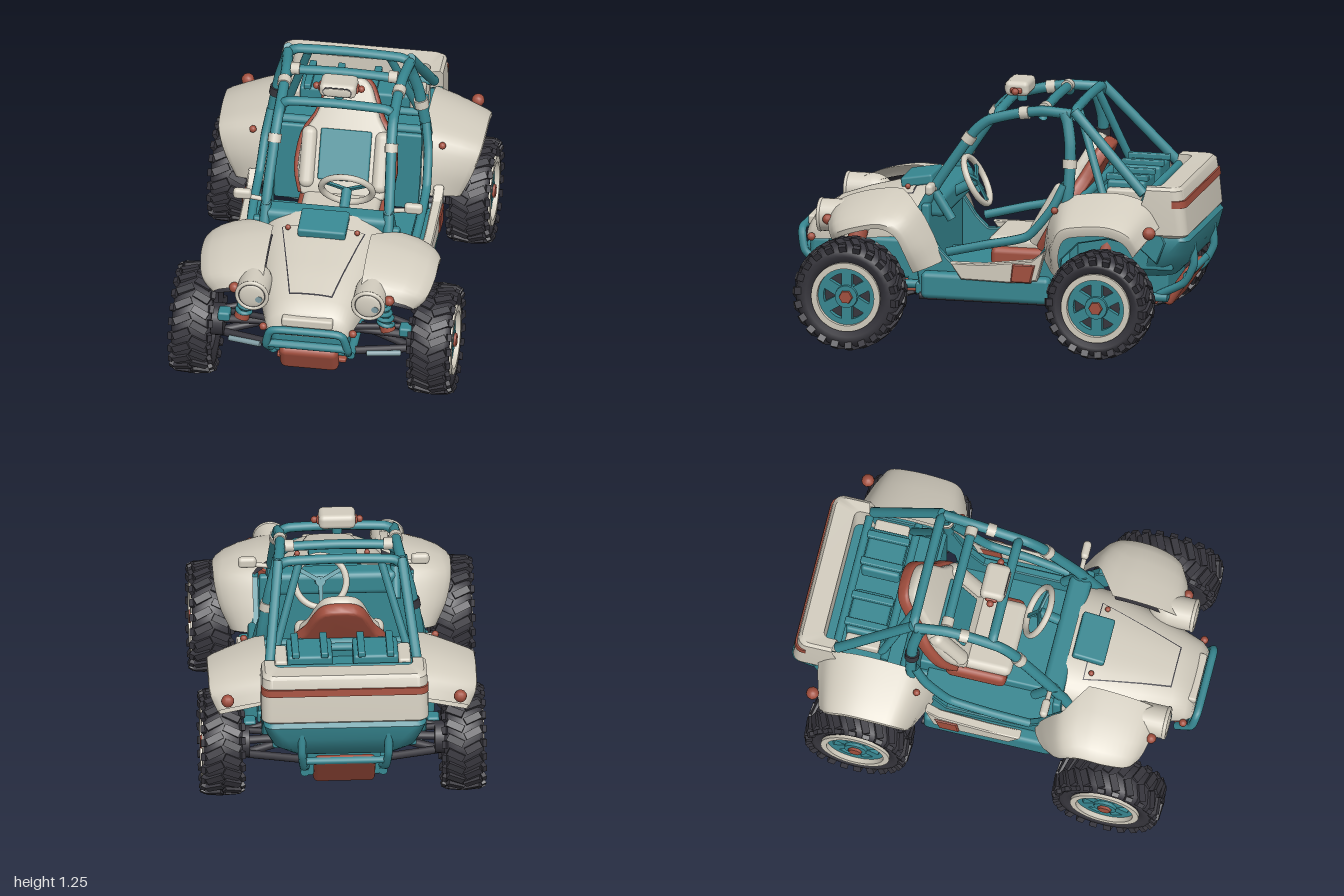
import * as THREE from 'three';
import { mergeGeometries, toCreasedNormals } from 'three/addons/utils/BufferGeometryUtils.js';
import { RoundedBoxGeometry } from 'three/addons/geometries/RoundedBoxGeometry.js';

const paint = (name, color, side = THREE.FrontSide) => {
  const m = new THREE.MeshStandardMaterial({ color, side });
  m.name = name;
  return m;
};
const V = (x, y, z) => new THREE.Vector3(x, y, z);

export function createModel() {
  const cream = paint('cream', 0xd2ccbe, THREE.DoubleSide);
  const teal = paint('teal', 0x378791, THREE.DoubleSide);
  const rust = paint('rust', 0xa24f3e, THREE.DoubleSide);
  const dark = paint('rubber', 0x36353c, THREE.DoubleSide);
  const steel = paint('pale steel', 0x7f9ba2);
  const model = new THREE.Group();
  model.name = 'buggy';

  const add = (name, geo, mat, parent = model) => {
    const mesh = new THREE.Mesh(geo, mat);
    mesh.name = name;
    parent.add(mesh);
    return mesh;
  };
  const box = (name, mat, w, h, d, x, y, z, r = 0.012) => {
    const m = add(name, new RoundedBoxGeometry(w, h, d, 2, Math.min(r, w / 2.1, h / 2.1, d / 2.1)), mat);
    m.position.set(x, y, z);
    return m;
  };
  const rod = (name, mat, a, b, r, sides = 12) => {
    const m = add(name, new THREE.CylinderGeometry(r, r, a.distanceTo(b), sides), mat);
    m.position.copy(a).lerp(b, 0.5);
    m.quaternion.setFromUnitVectors(V(0, 1, 0), b.clone().sub(a).normalize());
    return m;
  };
  const tube = (name, mat, pts, r) => add(name, new THREE.TubeGeometry(
    new THREE.CatmullRomCurve3(pts.map(p => V(...p)), false, 'catmullrom', 0.3), pts.length * 8, r, 10), mat);
  const clampAt = (a, b, t, r = 0.033, mat = cream) => {
    const d = b.clone().sub(a).normalize().multiplyScalar(0.022), c = a.clone().lerp(b, t);
    rod('tubeClamp', mat, c.clone().sub(d), c.clone().add(d), r);
  };
  // Surface through rows of points
  const loft = (rows, crease = 0.7) => {
    const n = rows[0].length, idx = [];
    for (let i = 0; i < rows.length - 1; i++) for (let j = 0; j < n - 1; j++) {
      const a = i * n + j, b = a + n;
      idx.push(a, a + 1, b, b, a + 1, b + 1);
    }
    const g = new THREE.BufferGeometry();
    g.setAttribute('position', new THREE.Float32BufferAttribute(rows.flat(2), 3));
    g.setIndex(idx);
    return toCreasedNormals(g, crease);
  };
  // Plate with a (z, y) outline, centred on x
  const sidePlate = (name, mat, pts, x, w) => {
    const g = new THREE.ExtrudeGeometry(new THREE.Shape(pts.map(p => new THREE.Vector2(...p))),
      { depth: w - 0.012, bevelSize: 0.006, bevelThickness: 0.006, bevelSegments: 1 });
    g.rotateY(-Math.PI / 2).translate(x + w / 2 - 0.006, 0, 0);
    return add(name, g, mat);
  };

  // Wheels
  const makeWheel = (R, s, y, z, name) => {
    const wheel = new THREE.Group();
    wheel.name = name;
    const profile = [[0.155, -0.08], [0.2, -0.095], [R - 0.045, -0.095], [R - 0.018, -0.07], [R - 0.01, 0],
      [R - 0.018, 0.07], [R - 0.045, 0.095], [0.2, 0.095], [0.16, 0.08], [0.15, 0], [0.155, -0.08]];
    const parts = [new THREE.LatheGeometry(profile.map(p => new THREE.Vector2(...p)), 36)];
    for (let i = 0; i < 22; i++) for (const k of [-1, 1]) {
      const a = (i + (k > 0 ? 0.5 : 0)) / 22 * Math.PI * 2;
      const lug = new THREE.BoxGeometry(0.022, 0.085, 0.036).rotateX(k * 0.45).rotateZ(k * 0.08).translate(R - 0.013, k * 0.042, 0);
      const shoulder = new THREE.BoxGeometry(0.05, 0.022, 0.036).rotateZ(k * 0.45).translate(R - 0.038, k * 0.088, k * 0.02);
      parts.push(lug.rotateY(a), shoulder.rotateY(a));
    }
    add('tyre', mergeGeometries(parts), dark, wheel);
    add('wheelWell', new THREE.CylinderGeometry(0.155, 0.155, 0.06, 28), dark, wheel).position.y = 0.01;
    const ring = (a, b, c, d) => new THREE.LatheGeometry([[a, c], [b, c], [b, d], [a, d], [a, c]].map(p => new THREE.Vector2(...p)), 36);
    add('rimRing', toCreasedNormals(ring(0.142, 0.171, 0.02, 0.1), 0.5), cream, wheel);
    add('rimInner', toCreasedNormals(ring(0.115, 0.143, 0.03, 0.075), 0.5), teal, wheel);
    for (let i = 0; i < 6; i++) {
      const spoke = new THREE.BoxGeometry(0.1, 0.03, 0.052).translate(0.072, 0.06, 0).rotateY(i * Math.PI / 3);
      add('spoke', spoke, teal, wheel);
    }
    add('hub', new THREE.CylinderGeometry(0.055, 0.062, 0.05, 18), teal, wheel).position.y = 0.065;
    add('hubCap', new THREE.CylinderGeometry(0.032, 0.037, 0.022, 6), rust, wheel).position.y = 0.092;
    wheel.rotation.z = -s * Math.PI / 2;
    wheel.position.set(s * 0.585, y, z);
    model.add(wheel);
  };

  // Fender swept over its wheel: path rows are z, y, outer x; section rows are share of width, drop
  const makeFender = (name, s, path, innerX, cy, cz, section, liner) => {
    const pts = new THREE.CatmullRomCurve3(path.map(p => V(p[2], p[1], p[0]))).getPoints(28);
    const skin = rows => loft(pts.map(p => {
      const d = V(0, cy - p.y, cz - p.z).normalize(), xi = innerX(p.z);
      return rows.map(([t, drop]) => [s * (xi + (p.x - xi) * t), p.y + d.y * drop, p.z + d.z * drop]);
    }));
    const lip = section[section.length - 1];
    add(name, skin(section), cream);
    add(name + 'Liner', skin([lip, [0.95, lip[1] - 0.01], [0.6, lip[1] - 0.05], [0, 0.035]]), liner);
  };
  const frontSection = [[0, -0.01], [0.35, 0.005], [0.65, 0.03], [0.86, 0.058], [0.97, 0.085], [1, 0.1], [0.98, 0.125]];
  const rearSection = [[0, 0], [0.35, 0.03], [0.65, 0.062], [0.9, 0.09], [0.99, 0.105], [1, 0.12], [0.96, 0.155]];

  // Hood
  const hoodRows = [[0.32, 0.33, 0.5, 0.735], [0.5, 0.32, 0.5, 0.698], [0.7, 0.27, 0.47, 0.648],
    [0.85, 0.225, 0.45, 0.597], [0.92, 0.205, 0.44, 0.555], [0.95, 0.18, 0.44, 0.505], [0.955, 0.17, 0.44, 0.45]];
  const hoodAt = z => {
    let i = 0;
    while (i < hoodRows.length - 2 && z > hoodRows[i + 1][0]) i++;
    const t = (z - hoodRows[i][0]) / (hoodRows[i + 1][0] - hoodRows[i][0]);
    return hoodRows[i].map((v, k) => v + (hoodRows[i + 1][k] - v) * t);
  };
  const arc = (c, n = 24) => Array.from({ length: n + 1 }, (_, j) => {
    const a = Math.PI * j / n, f = v => Math.sign(v) * Math.abs(v) ** 0.75;
    return [c[1] * f(Math.cos(a)), c[2] + (c[3] - c[2]) * f(Math.sin(a)), c[0]];
  });
  add('hood', loft(hoodRows.map(c => arc(c)), 0.9), cream);
  add('noseFace', loft([arc(hoodRows[6]), arc([0.955, 0.17, 0.44, 0.441])]), cream);
  const onHood = (x, z, lift) => {
    const [, w, b, t] = hoodAt(z);
    return [x, b + (t - b) * (1 - Math.abs(x / w) ** 2.67) ** 0.375 + lift, z];
  };
  const panel = (grow, lift) => loft(Array.from({ length: 10 }, (_, i) => {
    const z = 0.42 - grow + i * (0.41 + 2 * grow) / 9, w = 0.2 + grow - i * 0.011;
    return Array.from({ length: 13 }, (_, j) => onHood(w * (1 - j / 6), z, lift));
  }));
  add('hoodPanelSeam', panel(0.005, 0.003), dark);
  add('hoodPanel', panel(0, 0.007), cream);
  box('hoodScoop', teal, 0.235, 0.05, 0.16, 0, 0.735, 0.42).rotation.x = 0.17;
  box('noseScoop', cream, 0.25, 0.05, 0.05, 0, 0.515, 0.935);
  box('grille', teal, 0.36, 0.11, 0.12, 0, 0.4, 0.88, 0.03);
  box('frontFrame', teal, 0.36, 0.2, 0.5, 0, 0.36, 0.6, 0.02);

  // Floor, bulkheads and dashboard
  box('floor', teal, 0.8, 0.06, 0.72, 0, 0.27, 0);
  box('spine', teal, 0.36, 0.14, 1.3, 0, 0.29, -0.2);
  box('firewall', teal, 0.72, 0.42, 0.04, 0, 0.47, 0.32);
  box('dashboard', teal, 0.62, 0.12, 0.11, 0, 0.665, 0.285, 0.03);
  box('bulkhead', teal, 0.74, 0.44, 0.04, 0, 0.5, -0.42);
  box('cargoFloor', teal, 0.7, 0.24, 0.5, 0, 0.53, -0.66);
  box('skidPlate', rust, 0.34, 0.024, 1.6, 0, 0.21, 0.01, 0.008);
  box('frontSkid', rust, 0.29, 0.15, 0.07, 0, 0.272, 0.88, 0.034).rotation.x = 0.35;
  box('rearSkid', rust, 0.3, 0.22, 0.05, 0, 0.285, -0.89, 0.024).rotation.x = -0.6;
  rod('frontSkidTie', dark, V(0, 0.23, 0.76), V(0, 0.3, 0.87), 0.03);

  // Rear body: cream band, stripe and rounded lower pan
  const rearLoop = (y, w, zb, zf, r = 0.05) => {
    const pts = [[w, y, zf]];
    for (let i = 0; i <= 6; i++) { const a = i / 12 * Math.PI; pts.push([w - r + r * Math.cos(a), y, zb + r - r * Math.sin(a)]); }
    return pts.concat(pts.slice().reverse().map(p => [-p[0], p[1], p[2]]));
  };
  add('rearBand', loft([rearLoop(0.585, 0.39, -0.98, -0.74), rearLoop(0.6, 0.405, -0.992, -0.74), rearLoop(0.72, 0.405, -0.98, -0.76),
    rearLoop(0.82, 0.4, -0.965, -0.79), rearLoop(0.835, 0.385, -0.95, -0.79), rearLoop(0.83, 0.335, -0.85, -0.78, 0.03),
    rearLoop(0.62, 0.335, -0.85, -0.74, 0.03)]), cream);
  add('rearStripe', loft([rearLoop(0.737, 0.407, -0.985, -0.92), rearLoop(0.772, 0.407, -0.98, -0.92), rearLoop(0.773, 0.4, -0.97, -0.92)]), rust);
  add('rearPan', loft([rearLoop(0.6, 0.385, -0.98, -0.8), rearLoop(0.57, 0.395, -1, -0.8), rearLoop(0.5, 0.38, -0.992, -0.8, 0.1),
    rearLoop(0.43, 0.35, -0.96, -0.78, 0.1), rearLoop(0.37, 0.29, -0.9, -0.7, 0.1), rearLoop(0.34, 0.001, -0.78, -0.7, 0.001)]), teal);

  // Reclined seat: rust shell, cream pad and bolsters, teal insert
  const seat = new THREE.Group();
  seat.name = 'seat';
  seat.position.set(0, 0.475, -0.21);
  seat.rotation.x = -0.52;
  model.add(seat);
  const seatLayer = (name, mat, kx, ky, depth, z) => {
    const half = [[0.2, 0], [0.225, 0.12], [0.205, 0.28], [0.15, 0.38], [0.12, 0.47], [0.09, 0.54], [0.045, 0.57]];
    const curve = new THREE.SplineCurve([...half, ...half.slice().reverse().map(p => [-p[0], p[1]])].map(p => new THREE.Vector2(p[0] * kx, p[1] * ky)));
    const g = toCreasedNormals(new THREE.ExtrudeGeometry(new THREE.Shape(curve.getPoints(40)),
      { depth, bevelSize: 0.015, bevelThickness: 0.02, bevelSegments: 3 }), 0.8);
    add(name, g.translate(0, 0, z), mat, seat);
  };
  seatLayer('seatShell', rust, 1.06, 0.99, 0.025, -0.04);
  seatLayer('seatPad', cream, 0.95, 0.98, 0.02, 0.01);
  add('seatInsert', new RoundedBoxGeometry(0.25, 0.25, 0.02, 2, 0.009), teal, seat).position.set(0, 0.19, 0.053);
  for (const s of [1, -1]) add('seatBolster', new RoundedBoxGeometry(0.075, 0.3, 0.08, 3, 0.035), cream, seat).position.set(s * 0.18, 0.17, 0.04);
  box('seatBase', rust, 0.44, 0.1, 0.3, 0, 0.4, -0.12, 0.03);
  box('seatCushion', cream, 0.38, 0.08, 0.3, 0, 0.46, -0.1, 0.035);

  // Steering wheel
  const steering = new THREE.Group();
  steering.name = 'steeringWheel';
  add('steeringRim', new THREE.TorusGeometry(0.125, 0.016, 10, 36), cream, steering);
  for (let i = 0; i < 3; i++) add('steeringSpoke', new THREE.BoxGeometry(0.02, 0.12, 0.012).translate(0, 0.06, 0).rotateZ(Math.PI + i * 2.094), teal, steering);
  steering.position.set(0.07, 0.745, 0.13);
  steering.rotation.x = 0.48;
  model.add(steering);
  rod('steeringColumn', teal, V(0.07, 0.745, 0.13), V(0.07, 0.65, 0.3), 0.025);

  // Roof lamp
  box('roofLamp', cream, 0.18, 0.075, 0.12, 0, 1.213, -0.07, 0.025);
  const pill = (name, r, w, mat, z) => add(name, new THREE.CapsuleGeometry(r, w, 6, 12).rotateZ(Math.PI / 2).scale(1, 1, 0.2), mat).position.set(0, 1.213, z);
  pill('roofLampSeal', 0.027, 0.09, dark, -0.012);
  pill('roofLampLens', 0.023, 0.09, cream, -0.009);
  box('roofLampMount', rust, 0.2, 0.032, 0.06, 0, 1.205, -0.07);
  for (const s of [1, -1]) add('roofLampKnob', new THREE.SphereGeometry(0.018, 10, 8), rust).position.set(s * 0.11, 1.205, -0.07);
  rod('roofLampFoot', teal, V(0, 1.14, -0.08), V(0, 1.19, -0.08), 0.025);

  // Cage cross tubes and bumpers
  const cross = (y, z, w) => tube('cageCrossTube', teal, [[-w, y - 0.03, z], [-w + 0.05, y, z], [0, y + 0.008, z], [w - 0.05, y, z], [w, y - 0.03, z]], 0.024);
  cross(1.135, -0.02, 0.28);
  cross(1.16, -0.25, 0.285);
  cross(1.17, -0.41, 0.3);
  rod('harnessBar', teal, V(-0.37, 0.73, -0.44), V(0.37, 0.73, -0.44), 0.022);
  rod('cargoRail', teal, V(-0.36, 0.76, -0.54), V(0.36, 0.76, -0.54), 0.02);
  rod('cargoRail', teal, V(-0.34, 0.78, -0.78), V(0.34, 0.78, -0.78), 0.02);
  tube('frontBumperHoop', teal, [[-0.19, 0.31, 0.88], [-0.2, 0.38, 0.955], [-0.18, 0.465, 0.975], [-0.13, 0.485, 0.98],
    [0.13, 0.485, 0.98], [0.18, 0.465, 0.975], [0.2, 0.38, 0.955], [0.19, 0.31, 0.88]], 0.02);
  rod('frontBumperBar', teal, V(-0.2, 0.385, 0.955), V(0.2, 0.385, 0.955), 0.02);
  rod('rearBumperBar', teal, V(-0.22, 0.36, -0.95), V(0.22, 0.36, -0.95), 0.018);

  for (const s of [1, -1]) {
    makeWheel(0.272, s, 0.274, 0.64, 'frontWheel');
    makeWheel(0.262, s, 0.285, -0.605, 'rearWheel');
    makeFender('frontFender', s, [[0.81, 0.6, 0.49], [0.76, 0.65, 0.545], [0.62, 0.7, 0.575], [0.46, 0.715, 0.578],
      [0.36, 0.67, 0.575], [0.285, 0.55, 0.55], [0.23, 0.41, 0.5]],
    z => THREE.MathUtils.clamp(0.39 - (z - 0.36) * 1.5, 0.24, 0.39), 0.28, 0.6, frontSection, dark);
    makeFender('rearFender', s, [[-0.27, 0.46, 0.55], [-0.3, 0.63, 0.61], [-0.37, 0.745, 0.645], [-0.5, 0.782, 0.652],
      [-0.68, 0.785, 0.652], [-0.8, 0.74, 0.648], [-0.865, 0.65, 0.61]], () => 0.37, 0.285, -0.59, rearSection, cream);

    // Tub sides and sills
    sidePlate('tubSide', teal, [[0.33, 0.25], [0.36, 0.45], [0.46, 0.57], [0.6, 0.6], [0.58, 0.63], [0.36, 0.64], [0.24, 0.46],
      [0.18, 0.4], [-0.22, 0.4], [-0.3, 0.52], [-0.37, 0.73], [-0.8, 0.73], [-0.88, 0.56], [-0.84, 0.46],
      [-0.75, 0.54], [-0.6, 0.57], [-0.45, 0.54], [-0.36, 0.45], [-0.33, 0.25]], s * 0.38, 0.04);
    box('sill', teal, 0.08, 0.13, 0.64, s * 0.425, 0.3, 0, 0.025);
    sidePlate('sillTrim', cream, [[0.16, 0.42], [0.11, 0.35], [-0.13, 0.345], [-0.26, 0.36], [-0.3, 0.5], [-0.24, 0.45], [0, 0.42]], s * 0.455, 0.05);
    sidePlate('sillAccent', rust, [[-0.14, 0.35], [-0.23, 0.35], [-0.25, 0.43], [-0.15, 0.43]], s * 0.458, 0.06);
    rod('sideStep', dark, V(s * 0.43, 0.243, 0.33), V(s * 0.43, 0.243, -0.33), 0.018);
    for (const x of [0.25, 0.335]) rod('underTube', dark, V(s * x, 0.24, 0.3), V(s * x, 0.24, -0.38), 0.034);
    rod('frameRail', teal, V(s * 0.19, 0.24, 0.8), V(s * 0.19, 0.24, -0.85), 0.022);

    // Roll cage
    tube('cageSideTube', teal, [[s * 0.305, 0.58, 0.38], [s * 0.3, 0.78, 0.27], [s * 0.285, 1.03, 0.1], [s * 0.28, 1.1, 0.02],
      [s * 0.28, 1.14, -0.12], [s * 0.285, 1.16, -0.25], [s * 0.3, 1.155, -0.4]], 0.026);
    tube('mainHoop', teal, [[s * 0.395, 0.6, -0.38], [s * 0.375, 0.8, -0.4], [s * 0.34, 1.0, -0.4], [s * 0.31, 1.11, -0.38], [s * 0.3, 1.16, -0.36]], 0.028);
    rod('rearStay', teal, V(s * 0.3, 1.17, -0.41), V(s * 0.36, 0.79, -0.77), 0.025);
    rod('innerStay', teal, V(s * 0.2, 1.16, -0.41), V(s * 0.32, 0.76, -0.56), 0.02);
    tube('doorBar', teal, [[s * 0.4, 0.46, 0.2], [s * 0.41, 0.51, 0], [s * 0.41, 0.56, -0.2], [s * 0.4, 0.7, -0.32], [s * 0.38, 0.82, -0.38]], 0.022);
    rod('dashBrace', teal, V(s * 0.3, 0.76, 0.3), V(s * 0.3, 0.6, 0.2), 0.024);
    clampAt(V(s * 0.3, 0.78, 0.27), V(s * 0.285, 1.03, 0.1), 0.9);
    clampAt(V(s * 0.375, 0.8, -0.4), V(s * 0.34, 1, -0.4), 0.6, 0.036, s < 0 ? dark : cream);
    clampAt(V(s * 0.28, 1.14, -0.12), V(s * 0.285, 1.16, -0.25), 0.3);
    clampAt(V(0, 1.168, -0.25), V(s * 0.3, 1.165, -0.25), 0.8, 0.03);

    // Lights, reflectors and mirrors
    const lamp = V(s * 0.285, 0.585, 0.855);
    const shell = add('headlightShell', new THREE.SphereGeometry(0.08, 24, 14).scale(1, 1, 1.3), cream);
    shell.position.set(lamp.x, lamp.y, 0.735);
    rod('headlightBody', cream, V(lamp.x, lamp.y, 0.73), lamp, 0.08, 28);
    rod('headlightSeal', dark, lamp, V(lamp.x, lamp.y, 0.858), 0.066, 28);
    add('headlightRing', new THREE.TorusGeometry(0.074, 0.01, 8, 32), cream).position.copy(lamp);
    add('headlightLens', new THREE.SphereGeometry(0.063, 24, 12).scale(1, 1, 0.2), cream).position.set(lamp.x, lamp.y, 0.858);
    rod('headlightGlint', steel, V(lamp.x + 0.035, lamp.y - 0.012, 0.86), V(lamp.x + 0.035, lamp.y - 0.012, 0.87), 0.018, 8);
    const studs = [[0.38, 0.585, 0.8, 0.026], [0.22, 0.455, 0.92, 0.02], [0.565, 0.645, -0.845, 0.032],
      [0.17, 0.72, 0.45, 0.014], [0.465, 0.71, -0.35, 0.018]];
    for (const [x, y, z, r] of studs) add('reflector', new THREE.SphereGeometry(r, 10, 8), rust).position.set(s * x, y, z);
    box('mirror', cream, 0.09, 0.055, 0.04, s * 0.42, 0.775, 0.28, 0.018);
    rod('mirrorArm', cream, V(s * 0.42, 0.765, 0.28), V(s * 0.3, 0.75, 0.28), 0.012);

    // Cargo boxes
    box('cargoCase', teal, 0.22, 0.1, 0.19, s * 0.16, 0.78, -0.66, 0.015);
    for (const k of [-1, 1]) box('cargoStrap', teal, 0.035, 0.03, 0.21, s * 0.16 + k * 0.07, 0.84, -0.66, 0.006);
    box('cargoPad', cream, 0.06, 0.06, 0.17, s * 0.3, 0.77, -0.66, 0.012);
    tube('rearBumperUpright', teal, [[s * 0.21, 0.54, -0.975], [s * 0.21, 0.42, -0.985], [s * 0.2, 0.32, -0.93], [s * 0.18, 0.25, -0.8]], 0.02);

    // Suspension
    for (const [z, y] of [[0.64, 0.275], [-0.605, 0.285]]) {
      rod('axle', dark, V(s * 0.1, y + 0.02, z), V(s * 0.56, y, z), 0.02);
      rod('brakeHub', dark, V(s * 0.45, y, z), V(s * 0.52, y, z), 0.08, 18);
      box('brakeCaliper', teal, 0.06, 0.05, 0.07, s * 0.445, y + 0.07, z + 0.05);
      for (const k of [-1, 1]) {
        rod('lowerArm', dark, V(s * 0.17, 0.24, z + k * 0.12), V(s * 0.48, y - 0.07, z), 0.02);
        rod('upperArm', dark, V(s * 0.17, 0.37, z + k * 0.1), V(s * 0.48, y + 0.06, z), 0.016);
      }
      rod('tieRod', steel, V(s * 0.26, 0.225, z + 0.11), V(s * 0.42, 0.21, z + 0.06), 0.014);
      const low = V(s * 0.36, 0.34, z + 0.06), top = V(s * 0.305, 0.53, z + 0.02);
      rod('damper', teal, low, top, 0.025);
      rod('damperCup', rust, low, low.clone().lerp(top, 0.18), 0.038);
      rod('damperCap', rust, low.clone().lerp(top, 0.75), top, 0.046);
      const coil = Array.from({ length: 41 }, (_, i) => {
        const p = low.clone().lerp(top, 0.18 + i / 40 * 0.57), a = i / 40 * Math.PI * 8;
        return V(p.x + Math.cos(a) * 0.034, p.y, p.z + Math.sin(a) * 0.034);
      });
      add('spring', new THREE.TubeGeometry(new THREE.CatmullRomCurve3(coil), 80, 0.012, 6), teal);
    }
  }
  return model;
}
